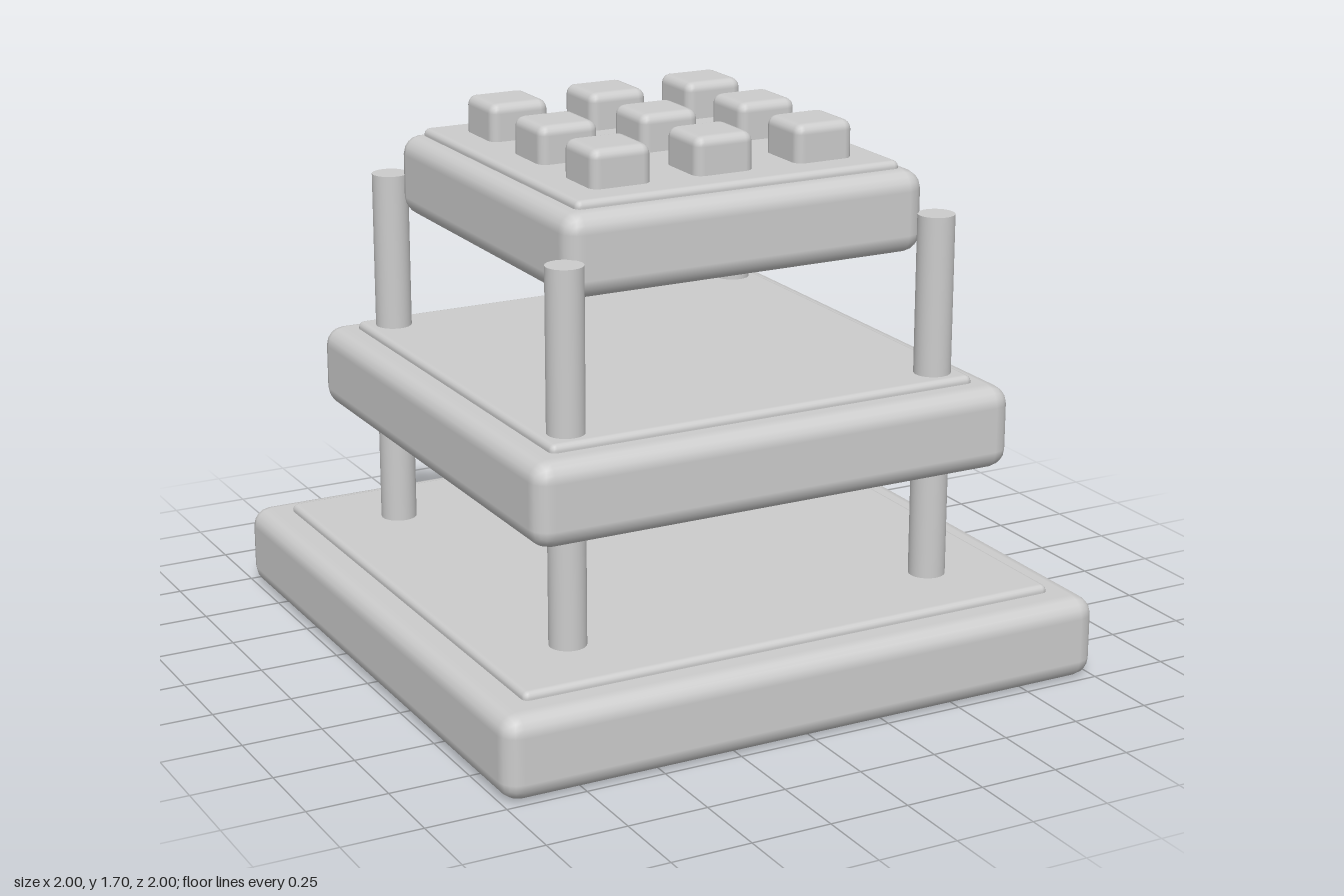
import * as THREE from 'three';
import { RoundedBoxGeometry } from 'three/addons/geometries/RoundedBoxGeometry.js';

export function createModel() {
  const model = new THREE.Group();
  model.name = 'tieredTower';
  const grey = new THREE.MeshStandardMaterial({ color: 0xcccccc });
  grey.name = 'light grey';

  const add = (name, geometry, x, y, z) => {
    const mesh = new THREE.Mesh(geometry, grey);
    mesh.name = name;
    mesh.position.set(x, y, z);
    model.add(mesh);
  };
  // square block with rounded edges, spanning y0 to y1
  const block = (name, half, y0, y1, radius, x = 0, z = 0) =>
    add(name, new RoundedBoxGeometry(half * 2, y1 - y0, half * 2, 2, radius), x, (y0 + y1) / 2, z);

  // three stacked slabs, each with a thin raised deck
  const tiers = [
    ['base', 1.0, 0.89, 0.0, 0.26],
    ['middle', 0.8, 0.71, 0.65, 0.91],
    ['upper', 0.6, 0.54, 1.305, 1.56],
  ];
  for (const [name, half, deckHalf, y0, y1] of tiers) {
    block(name + 'Slab', half, y0, y1, 0.06);
    block(name + 'Deck', deckHalf, y1 - 0.025, y1 + 0.024, 0.02);
  }

  // corner posts running through the middle slab
  for (const x of [-0.62, 0.62])
    for (const z of [-0.62, 0.62])
      add('cornerPost', new THREE.CylinderGeometry(0.057, 0.057, 1.23, 32), x, 0.815, z);

  // three by three grid of rounded studs on top
  for (const x of [-0.34, 0, 0.34])
    for (const z of [-0.34, 0, 0.34])
      block('topStud', 0.098, 1.51, 1.7, 0.03, x, z);

  return model;
}
